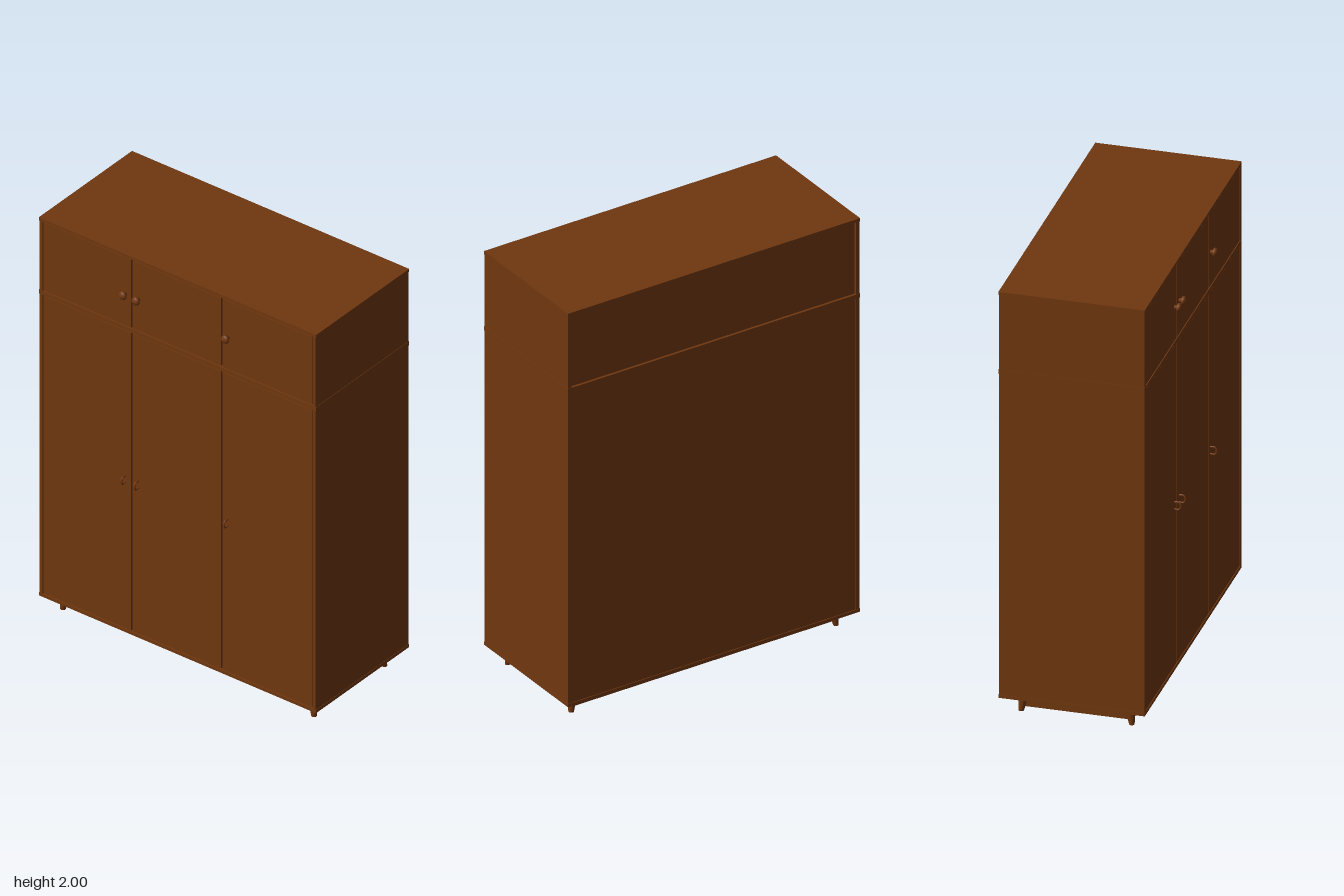
import * as THREE from 'three';

export function createModel() {
  const root = new THREE.Group();
  const wood = new THREE.MeshStandardMaterial({ color: 0x70370f });
  wood.name = 'brown wood';

  const add = (name, geometry, x = 0, y = 0, z = 0, parent = root) => {
    const mesh = new THREE.Mesh(geometry, wood);
    mesh.name = name;
    mesh.position.set(x, y, z);
    parent.add(mesh);
    return mesh;
  };
  // Box given by its limits on each axis
  const board = (name, x0, x1, y0, y1, z0, z1, parent) =>
    add(name, new THREE.BoxGeometry(x1 - x0, y1 - y0, z1 - z0),
      (x0 + x1) / 2, (y0 + y1) / 2, (z0 + z1) / 2, parent);

  const W = 0.743, BACK = -0.338, FRONT = 0.308, T = 0.02;
  const seams = [-W + T, -0.245, 0.235, W - T];

  // Lower wardrobe and upper cupboard share the same construction
  const tiers = [
    { name: 'wardrobe', y0: 0.095, y1: 1.613, back: BACK + 0.004 },
    { name: 'topCupboard', y0: 1.633, y1: 1.985, back: BACK + 0.012 },
  ];
  for (const { name, y0, y1, back } of tiers) {
    const tier = new THREE.Group();
    tier.name = name;
    root.add(tier);
    for (const s of [-1, 1]) {
      const outer = s * (W - 0.002), inner = s * (W - T);
      board('sidePanel', Math.min(outer, inner), Math.max(outer, inner),
        y0, y1, BACK + 0.002, FRONT - 0.001, tier);
    }
    board('backPanel', -W + T, W - T, y0, y1, back, back + 0.012, tier);
    for (const x of seams.slice(1, 3))
      board('divider', x - 0.01, x + 0.01, y0, y1, back + 0.012, FRONT - 0.022, tier);
    for (let i = 0; i < 3; i++)
      board('door', seams[i] + 0.004, seams[i + 1] - 0.004,
        y0 + 0.004, y1 - 0.004, FRONT - 0.02, FRONT - 0.002, tier);
  }

  // Full width horizontal boards
  board('bottomBoard', -W, W, 0.08, 0.095, BACK, FRONT);
  board('middleBoard', -W, W, 1.613, 1.633, BACK, FRONT);
  board('topBoard', -W, W, 1.985, 2, BACK, FRONT);

  // Round knobs above, small bail pulls below
  const knobProfile = [[0, -0.004], [0.009, -0.004], [0.008, 0.008], [0.016, 0.01],
    [0.02, 0.017], [0.018, 0.024], [0.011, 0.029], [0, 0.031]]
    .map(([r, y]) => new THREE.Vector2(r, y));
  const knob = new THREE.LatheGeometry(knobProfile, 20).rotateX(Math.PI / 2);
  const pullPath = new THREE.CatmullRomCurve3([[0.016, -0.004], [0.017, 0.017],
    [0.009, 0.024], [-0.009, 0.024], [-0.017, 0.017], [-0.016, -0.004]]
    .map(([y, z]) => new THREE.Vector3(0, y, z)));
  const pull = new THREE.TubeGeometry(pullPath, 20, 0.004, 8);
  for (const x of [-0.28, -0.21, 0.27]) {
    add('knob', knob, x, 1.797, FRONT);
    add('doorPull', pull, x, 0.858, FRONT);
  }

  // Feet taper from a wide top, with the outer side almost upright
  const LX = 0.663, LZ0 = -0.247, LZ1 = 0.221;
  for (const sx of [-1, 1]) {
    for (const [z, sz] of [[LZ0, -1], [LZ1, 1]]) {
      const leg = new THREE.CylinderGeometry(0.025, 0.012, 0.081, 16);
      const p = leg.attributes.position;
      for (let i = 0; i < p.count; i++) {
        if (p.getY(i) < 0) {
          p.setX(i, p.getX(i) + sx * 0.01);
          p.setZ(i, p.getZ(i) + sz * 0.01);
        }
      }
      leg.computeVertexNormals();
      add('foot', leg, sx * LX, 0.0405, z);
    }
    board('sideRail', sx * LX - 0.008, sx * LX + 0.008, 0.02, 0.071, LZ0, LZ1);
  }
  for (const z of [LZ0, LZ1])
    board('longRail', -LX, LX, 0.02, 0.071, z - 0.008, z + 0.008);

  return root;
}
